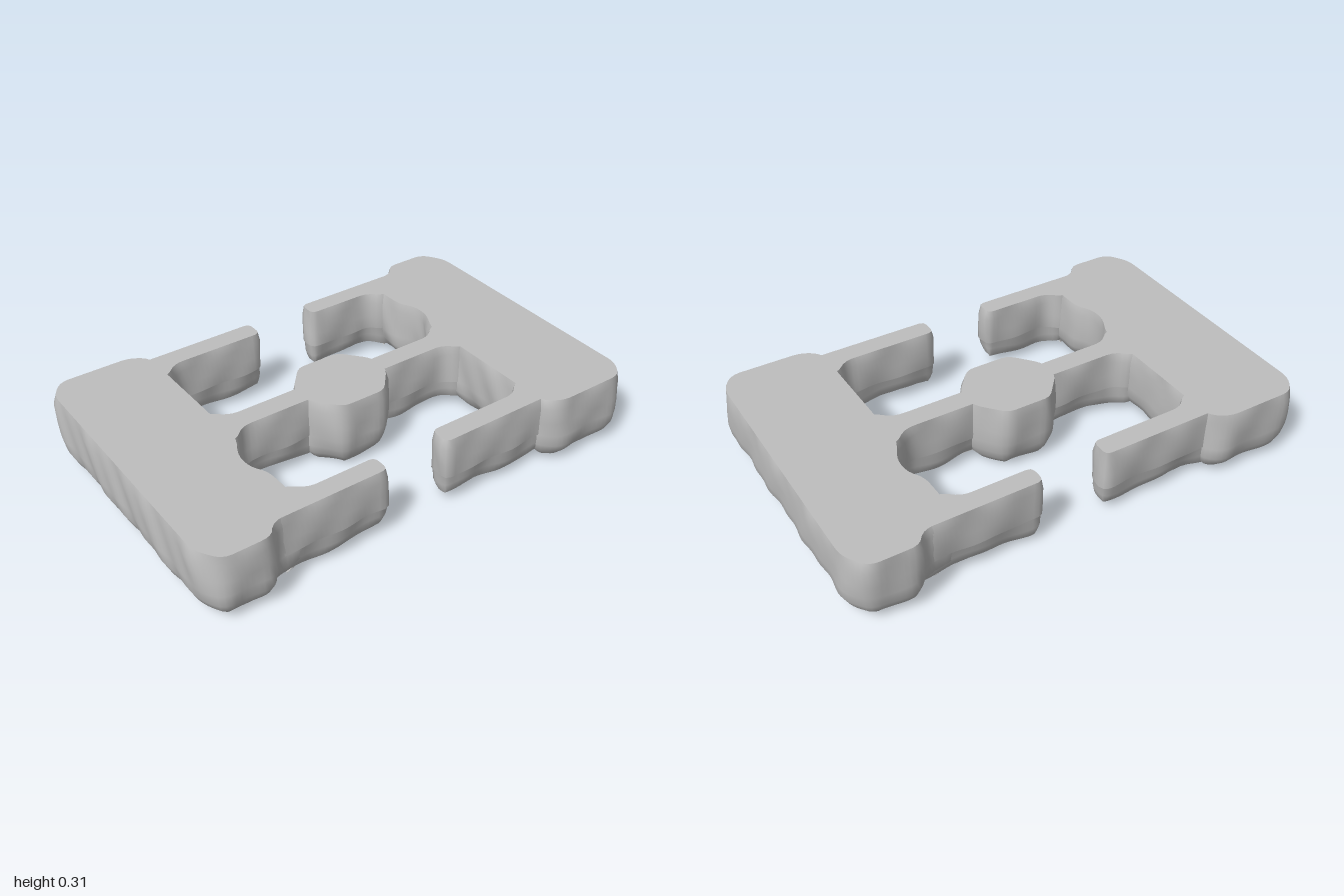
import * as THREE from 'three';

const HEIGHT = 0.31;

// Plan outline (x, z) with rounded corners, evenly resampled counter-clockwise
function roundedLoop(corners, radius) {
  const pts = corners.map(([x, z]) => new THREE.Vector2(x, z));
  const shape = new THREE.Shape();
  pts.forEach((p, i) => {
    const prev = pts[(i + pts.length - 1) % pts.length];
    const next = pts[(i + 1) % pts.length];
    const toward = (q) => {
      const d = p.distanceTo(q);
      return p.clone().lerp(q, Math.min(radius, d * 0.45) / d);
    };
    const a = toward(prev), b = toward(next);
    if (i === 0) shape.moveTo(a.x, a.y);
    else shape.lineTo(a.x, a.y);
    shape.quadraticCurveTo(p.x, p.y, b.x, b.y);
  });
  shape.closePath();
  const loop = shape.getSpacedPoints(Math.ceil(shape.getLength() / 0.022));
  loop.pop();
  if (THREE.ShapeUtils.isClockWise(loop)) loop.reverse();
  return loop;
}

// Flat-topped slab with slightly uneven walls and a rounded lower edge
function slabGeometry(corners, { radius = 0.04, floor = 0, inset = 0.08, ripple = 0 }) {
  const loop = roundedLoop(corners, radius);
  const n = loop.length;
  const rings = [
    [HEIGHT, 0.008], [0.27, 0], [0.2, 0], [0.14, 0], [floor + 0.09, 0.005],
    [floor + 0.05, inset * 0.3], [floor + 0.02, inset * 0.65], [floor, inset],
  ];
  const pos = [], index = [];
  rings.forEach(([y, shrink], r) => {
    loop.forEach((p, i) => {
      const t = loop[(i + 1) % n].clone().sub(loop[(i + n - 1) % n]).normalize();
      const wobble = r === 0 ? 0
        : 0.004 * Math.sin(23 * p.x + 17 * p.y + 11 * y) + 0.003 * Math.sin(41 * p.y - 31 * p.x + 24 * y);
      const out = wobble - shrink;
      const low = r >= 5 ? ripple * Math.sin(14 * p.x + 9 * p.y) : 0;
      pos.push(p.x + t.y * out, y + low, p.y - t.x * out - 0.01 * (y / HEIGHT));
    });
  });
  for (let r = 0; r < rings.length - 1; r++) {
    for (let i = 0; i < n; i++) {
      const a = r * n + i, b = r * n + (i + 1) % n;
      index.push(a, b, a + n, b, b + n, a + n);
    }
  }
  // Caps use their own vertices so the rim stays sharp
  const cap = (ring, up) => {
    const start = pos.length / 3;
    const flat = [];
    for (let i = 0; i < n; i++) {
      const k = (ring * n + i) * 3;
      flat.push(new THREE.Vector2(pos[k], pos[k + 2]));
      pos.push(pos[k], pos[k + 1], pos[k + 2]);
    }
    for (const [a, b, c] of THREE.ShapeUtils.triangulateShape(flat, [])) {
      if (up) index.push(start + a, start + c, start + b);
      else index.push(start + a, start + b, start + c);
    }
  };
  cap(0, true);
  cap(rings.length - 1, false);
  const geo = new THREE.BufferGeometry();
  geo.setAttribute('position', new THREE.Float32BufferAttribute(pos, 3));
  geo.setIndex(index);
  geo.computeVertexNormals();
  return geo;
}

export function createModel() {
  const group = new THREE.Group();
  group.name = 'stoneFrame';
  const stone = new THREE.MeshStandardMaterial({ color: 0xbebebe });
  stone.name = 'stoneGrey';

  const add = (name, corners, options) => {
    const mesh = new THREE.Mesh(slabGeometry(corners, options), stone);
    mesh.name = name;
    group.add(mesh);
  };

  // Wide side block with a shallow bite in its inner edge
  const block = [
    [-0.995, -0.56], [-0.935, -0.64], [-0.62, -0.64], [-0.545, -0.585],
    [-0.54, 0.1], [-0.59, 0.19], [-0.59, 0.27], [-0.55, 0.33],
    [-0.545, 0.575], [-0.69, 0.58], [-0.73, 0.64], [-0.93, 0.64], [-0.995, 0.54],
  ];
  // Thin arms, flared where they meet the block
  const longArm = [
    [-0.64, -0.58], [-0.07, -0.58], [-0.07, -0.476], [-0.49, -0.476],
    [-0.545, -0.42], [-0.64, -0.42],
  ];
  const shortArm = [
    [-0.72, 0.58], [-0.19, 0.58], [-0.19, 0.482], [-0.49, 0.482],
    [-0.545, 0.43], [-0.72, 0.43],
  ];

  // The two halves are the same shape turned half a circle
  for (const [side, s] of [['right', 1], ['left', -1]]) {
    const turn = (list) => list.map(([x, z]) => [x * s, z * s]);
    add(side + 'Block', turn(block), { radius: 0.045, inset: 0.08 });
    const arm = { radius: 0.035, floor: 0.045, inset: 0.028, ripple: 0.01 };
    add(side + 'LongArm', turn(longArm), arm);
    add(side + 'ShortArm', turn(shortArm), arm);
  }

  // Central bar joining the blocks
  const quarter = [[0.64, 0.11], [0.545, 0.11], [0.49, 0.053]];
  const mirrorX = (list) => list.map(([x, z]) => [-x, z]).reverse();
  const frontEdge = [...quarter, ...mirrorX(quarter)];
  const backEdge = frontEdge.map(([x, z]) => [x, -z]).reverse();
  add('centreBar', [...frontEdge, ...backEdge], { radius: 0.04, floor: 0.045, inset: 0.028, ripple: 0.01 });

  // Eight-sided pad in the middle
  const pad = [[0.2, 0.055], [0.1, 0.172], [-0.1, 0.172], [-0.2, 0.055]];
  add('centrePad', [...pad, ...pad.map(([x, z]) => [x, -z]).reverse()], { radius: 0.035, inset: 0.065 });

  return group;
}
